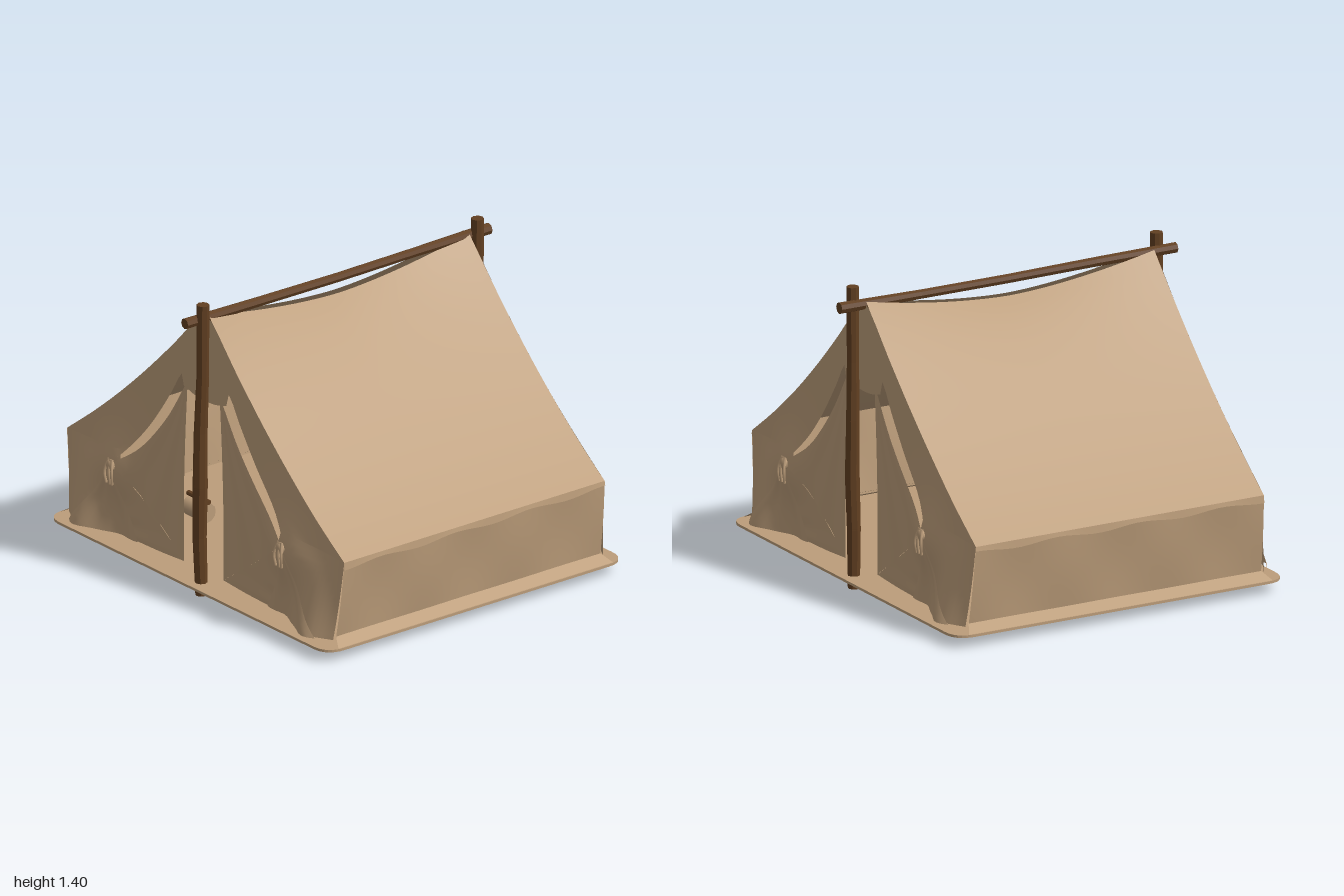
import * as THREE from 'three';

const canvas = new THREE.MeshStandardMaterial({ color: 0xbc9d7a, side: THREE.DoubleSide });
canvas.name = 'canvas';
const wood = new THREE.MeshStandardMaterial({ color: 0x613f21, flatShading: true });
wood.name = 'wood';

const W = 0.74; // half length of the roof
const EAVE_Y = 0.46, EAVE_Z = 0.98;

function add(parent, name, geometry, material) {
  const mesh = new THREE.Mesh(geometry, material);
  mesh.name = name;
  parent.add(mesh);
  return mesh;
}

// Cloth sheet: fn(u, v) gives [x, y, z]
function sheet(fn, nu, nv) {
  const g = new THREE.PlaneGeometry(1, 1, nu, nv);
  const p = g.attributes.position;
  for (let i = 0; i < p.count; i++) p.setXYZ(i, ...fn(p.getX(i) + 0.5, 0.5 - p.getY(i)));
  g.computeVertexNormals();
  return g;
}

// Rough pole made of short tapered pieces; points are [x, y, z, radius]
function pole(parent, name, points) {
  const group = new THREE.Group();
  group.name = name;
  const up = new THREE.Vector3(0, 1, 0);
  for (let i = 0; i < points.length - 1; i++) {
    const a = new THREE.Vector3(...points[i]), b = new THREE.Vector3(...points[i + 1]);
    const d = b.clone().sub(a);
    const m = add(group, 'poleSection', new THREE.CylinderGeometry(points[i + 1][3], points[i][3], d.length() + 0.008, 8), wood);
    m.position.copy(a).add(b).multiplyScalar(0.5);
    m.quaternion.setFromUnitVectors(up, d.normalize());
  }
  parent.add(group);
}

// Slope of the roof along its end edge, v from ridge to eave; the front hangs a little slacker
const slope = (v, sz) => [
  1.335 + (EAVE_Y - 1.335) * v - (sz > 0 ? 0.23 : 0.18) * v * (1 - v),
  0.02 + (EAVE_Z - 0.02) * v];

// How far the end cloth stands out: the foot spreads beside the corner, the flap gathers at its tie
function endX(y, z) {
  const low = THREE.MathUtils.clamp((0.46 - y) / 0.38, 0, 1);
  const spread = 0.085 * low * Math.exp(-((z - 0.8) ** 2) / 0.016);
  const gather = 0.045 * Math.exp(-((z - 0.62) ** 2) / 0.02 - ((y - 0.4) ** 2) / 0.02);
  return W + spread + gather;
}

// End panel stretched between two curves of [z, y] points
function endPanel(edgeA, edgeB, sx, sz, offset, ripple = 0) {
  const curve = (pts) => new THREE.CatmullRomCurve3(pts.map(([z, y]) => new THREE.Vector3(0, y, z)), false, 'centripetal');
  const a = curve(edgeA), b = curve(edgeB);
  return sheet((u, v) => {
    const p = a.getPoint(u).lerp(b.getPoint(u), v);
    const x = endX(p.y, p.z) + offset + ripple * Math.sin(v * 16) * u;
    return [sx * x, p.y, sz * p.z];
  }, 18, 14);
}

function roundedFloor() {
  const s = new THREE.Shape(), w = 0.85, d = 0.995, r = 0.1;
  s.moveTo(-w + r, -d);
  s.lineTo(w - r, -d).quadraticCurveTo(w, -d, w, -d + r);
  s.lineTo(w, d - r).quadraticCurveTo(w, d, w - r, d);
  s.lineTo(-w + r, d).quadraticCurveTo(-w, d, -w, d - r);
  s.lineTo(-w, -d + r).quadraticCurveTo(-w, -d, -w + r, -d);
  const g = new THREE.ExtrudeGeometry(s, { depth: 0.012, bevelEnabled: false, curveSegments: 8 });
  return g.rotateX(-Math.PI / 2).translate(0, 0.048, 0);
}

export function createModel() {
  const tent = new THREE.Group();
  tent.name = 'tent';
  add(tent, 'groundSheet', roundedFloor(), canvas);

  // Wooden frame
  for (const s of [-1, 1]) {
    pole(tent, s > 0 ? 'leftPost' : 'rightPost', [
      [s * 0.78, 0.004, 0.02, 0.028], [s * 0.785, 0.28, 0.012, 0.032], [s * 0.788, 0.52, 0.02, 0.034],
      [s * 0.785, 0.78, 0.02, 0.031], [s * 0.78, 1.05, 0.028, 0.028], [s * 0.78, 1.395, 0.03, 0.029]]);
  }
  pole(tent, 'ridgePole', [[-0.86, 1.32, 0.005, 0.025], [-0.45, 1.318, 0.01, 0.023], [0, 1.314, 0.008, 0.022],
    [0.45, 1.316, 0.004, 0.022], [0.86, 1.318, 0.005, 0.027]]);
  pole(tent, 'innerStick', [[-0.72, 0.45, -0.06, 0.008], [-0.72, 0.7, -0.055, 0.014], [-0.72, 0.92, -0.045, 0.012]]);

  // Rolled cloth held by a short bar inside the far doorway
  const roll = add(tent, 'clothRoll', new THREE.CylinderGeometry(0.045, 0.045, 0.13, 12), canvas);
  roll.rotation.x = Math.PI / 2;
  roll.position.set(-0.7, 0.35, -0.1);
  pole(tent, 'rollBar', [[-0.7, 0.405, -0.03, 0.012], [-0.7, 0.405, -0.17, 0.012]]);

  for (const sz of [-1, 1]) {
    const side = sz > 0 ? 'front' : 'back';

    // Roof cloth, sagging below the ridge pole between the posts
    add(tent, side + 'Roof', sheet((u, v) => {
      const t = 2 * u - 1;
      const [y, z] = slope(v, sz);
      const sag = 0.09 * (1 - Math.abs(t) ** 1.7) * (1 - v) ** 5;
      return [t * W, y - sag, sz * z];
    }, 32, 24), canvas);

    // Low wall, leaning in towards the foot
    add(tent, side + 'Wall', sheet((u, v) => {
      const t = 2 * u - 1, y = EAVE_Y - (EAVE_Y - 0.085) * v;
      const z = EAVE_Z - 0.045 * v - 0.006 * Math.sin(Math.PI * v) * Math.cos(t * 9);
      return [t * endX(y, EAVE_Z), y, sz * z];
    }, 32, 10), canvas);
    add(tent, side + 'WallHem', sheet((u, v) => {
      const t = 2 * u - 1;
      return [t * (0.75 + 0.03 * v), 0.095 - 0.035 * v, sz * (0.934 + 0.055 * v)];
    }, 16, 2), canvas);
    add(tent, side + 'EaveHem', sheet((u, v) => {
      const t = 2 * u - 1;
      return [t * W, EAVE_Y - v * (0.028 + 0.008 * Math.sin(t * 11)), sz * (EAVE_Z + 0.004 * v)];
    }, 32, 2), canvas);

    for (const sx of [-1, 1]) {
      // Gable border under the roof edge
      const outer = [[0, 1.335], ...[0.04, 0.2, 0.4, 0.6, 0.8, 1].map((v) => slope(v, sz).reverse())];
      add(tent, 'gableBorder', endPanel(outer,
        [[0, 1.06], [0.1, 1.03], [0.17, 0.99], [0.24, 0.88], [0.36, 0.71], [0.47, 0.58], [0.58, 0.46]], sx, sz, 0), canvas);
      // Small piece above the doorway
      add(tent, 'doorTop', endPanel([[0, 1.1], [0.08, 1.08], [0.17, 1.01]],
        [[0, 0.915], [0.07, 0.92], [0.15, 0.94]], sx, sz, 0.004), canvas);
      // Short end wall by the corner
      add(tent, 'endWall', endPanel([[0.57, 0.5], [0.75, 0.475], [0.98, 0.46]],
        [[0.5, 0.085], [0.72, 0.08], [0.935, 0.08]], sx, sz, 0), canvas);
      // Door flap, gathered at the tie
      add(tent, 'doorFlap', endPanel([[0.115, 0.95], [0.13, 0.7], [0.14, 0.4], [0.14, 0.1]],
        [[0.13, 0.95], [0.26, 0.75], [0.45, 0.54], [0.6, 0.43]], sx, sz, 0.012, 0.003), canvas);
      add(tent, 'lowerFlap', endPanel([[0.14, 0.1], [0.3, 0.09], [0.48, 0.085]],
        [[0.6, 0.43], [0.63, 0.35], [0.66, 0.27]], sx, sz, 0.012, 0.003), canvas);
      add(tent, 'flapFold', endPanel([[0.6, 0.43], [0.56, 0.3], [0.46, 0.085]],
        [[0.61, 0.43], [0.7, 0.29], [0.87, 0.08]], sx, sz, 0.018, 0.005), canvas);

      // Cloth knot with hanging ends
      const tie = new THREE.Group();
      tie.name = 'flapTie';
      tie.position.set(sx * 0.8, 0.42, sz * 0.6);
      const knot = add(tie, 'knot', new THREE.SphereGeometry(0.026, 10, 8), canvas);
      knot.scale.set(0.6, 1.1, 1);
      for (const k of [-1, 0.2, 1]) {
        const path = new THREE.CatmullRomCurve3([new THREE.Vector3(0, 0.03, k * 0.012),
          new THREE.Vector3(sx * 0.014, -0.03, k * 0.026), new THREE.Vector3(sx * 0.008, -0.085, k * 0.02)]);
        add(tie, 'tieEnd', new THREE.TubeGeometry(path, 8, 0.007, 6), canvas);
      }
      tent.add(tie);
    }
  }
  return tent;
}
